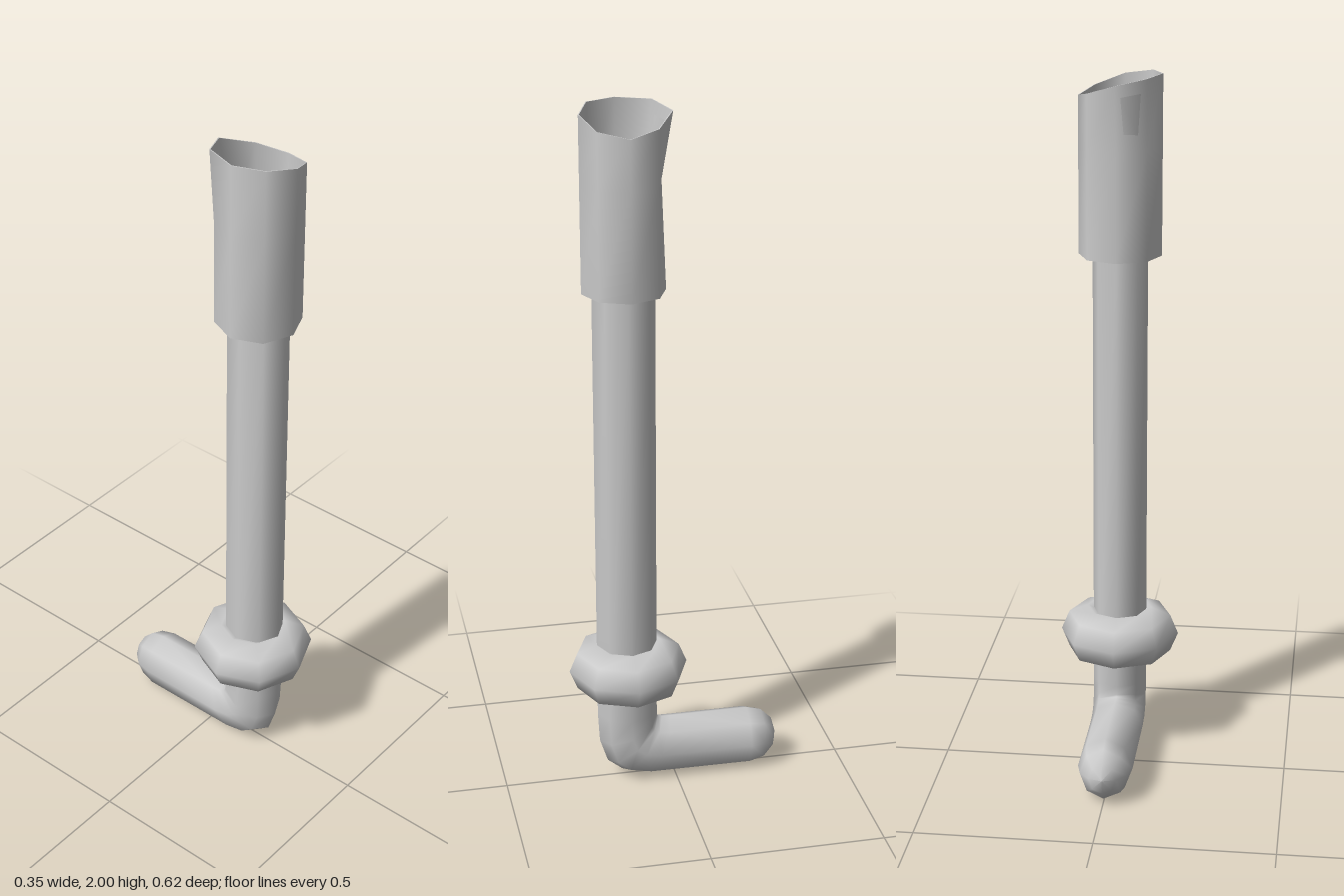
import * as THREE from 'three';

const SIDES = 8;
const AXIS_Z = 0.137;
const material = new THREE.MeshStandardMaterial({ color: 0xcccccc, side: THREE.DoubleSide });

// Skin a series of closed eight-point loops with smooth normals.
function loft(loops) {
  const index = [];
  for (let i = 0; i < loops.length - 1; i++) {
    for (let j = 0; j < SIDES; j++) {
      const k = (j + 1) % SIDES;
      const a = i * SIDES + j, b = i * SIDES + k;
      index.push(a, a + SIDES, b, b, a + SIDES, b + SIDES);
    }
  }
  const geometry = new THREE.BufferGeometry();
  geometry.setAttribute('position', new THREE.Float32BufferAttribute(loops.flat(2), 3));
  geometry.setIndex(index);
  geometry.computeVertexNormals();
  return geometry;
}

const ring = (fn) => Array.from({ length: SIDES }, (_, j) => fn((j / SIDES) * Math.PI * 2));

// Pipe section spanning an outer and an inner point in the side plane.
function section(outZ, outY, inZ, inY, halfWidth) {
  const cz = (outZ + inZ) / 2, cy = (outY + inY) / 2;
  return ring((a) => [
    Math.sin(a) * halfWidth,
    cy + (outY - cy) * Math.cos(a),
    cz + (outZ - cz) * Math.cos(a),
  ]);
}

// Level ring around the upright axis.
const level = (r, y) => ring((a) => [r * Math.sin(a), y, AXIS_Z + r * Math.cos(a)]);

// Slanted upper lip: high on the right, low on the left, flared at the back.
function lip(inset) {
  return ring((a) => {
    const r = 0.117 - inset;
    const s = Math.sin(a), back = Math.max(0, -Math.cos(a));
    return [r * s, 1.983 - 0.031 * s - 0.014 * s * s,
      AXIS_Z + r * Math.cos(a) - 0.02 * back * (s > 0.1 ? 0 : 1)];
  });
}

// Slight dent in the back of the sleeve below the lip.
function dented(r, y) {
  return level(r, y).map(([x, h, z]) => [x, h, z < 0.03 ? z + 0.012 : z]);
}

export function createModel() {
  const model = new THREE.Group();
  const add = (name, geometry) => {
    const mesh = new THREE.Mesh(geometry, material);
    mesh.name = name;
    model.add(mesh);
    return mesh;
  };

  // Upright pipe, elbow and horizontal foot with a rounded end
  const w = 0.078;
  const pipe = [
    [0.226, 1.52, 0.05, 1.52], [0.226, 0.21, 0.05, 0.21],
    [0.221, 0.12, 0.05, 0.186], [0.198, 0.05, 0.046, 0.181],
    [0.155, 0.016, 0.035, 0.178], [0.09, 0.002, 0.01, 0.178],
    [-0.222, 0, -0.222, 0.178],
  ].map((p) => section(...p, w));
  for (let i = 1; i <= 3; i++) {
    const a = (i * Math.PI) / 6, c = Math.max(Math.cos(a), 0.001);
    const z = -0.222 - 0.088 * Math.sin(a);
    pipe.push(section(z, 0.089 - 0.089 * c, z, 0.089 + 0.089 * c, w * c));
  }
  add('pipeAndFoot', loft(pipe));

  // Thick collar above the elbow
  const collar = add('collar', new THREE.TorusGeometry(0.094, 0.079, 8, SIDES));
  collar.rotation.x = Math.PI / 2;
  collar.position.set(0, 0.356, 0.134);

  // Hollow sleeve with a slanted mouth
  add('sleeveWall', loft([lip(0), dented(0.117, 1.8), level(0.117, 1.495)]));
  add('sleeveLining', loft([level(0.1, 1.53), dented(0.111, 1.8), lip(0.003)]));
  add('sleeveLip', loft([lip(0.003), lip(0)]));
  add('sleeveFloor', loft([level(0.001, 1.56), level(0.06, 1.55), level(0.1, 1.53)].reverse()
    .map((loop) => loop)));
  add('sleeveUnderside', loft([level(0.117, 1.495), level(0.1, 1.505), level(0.07, 1.51)]));
  return model;
}
